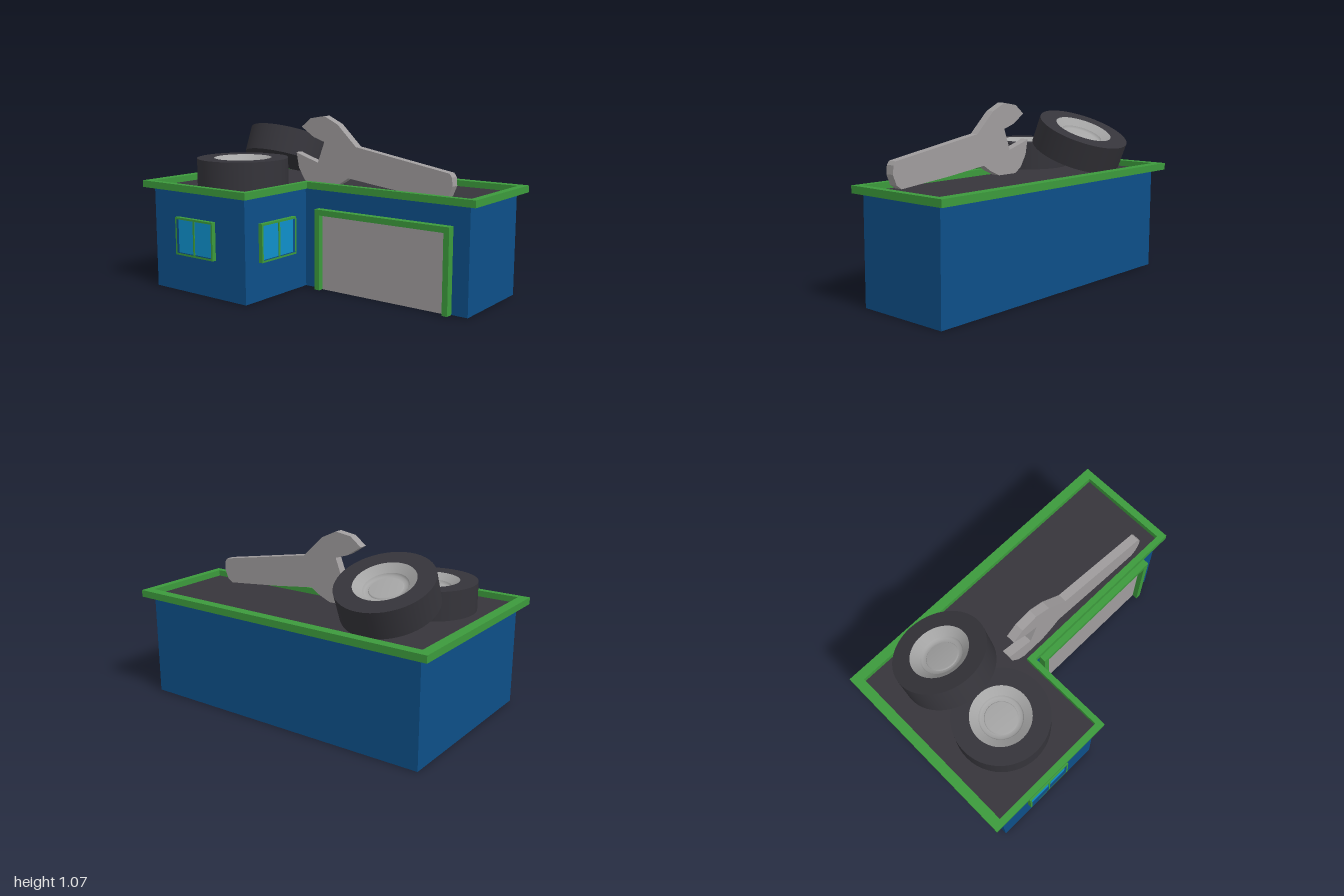
import * as THREE from 'three';

const mat = (name, color, side = THREE.FrontSide) => {
  const m = new THREE.MeshStandardMaterial({ color, side });
  m.name = name;
  return m;
};

// L-shaped footprint as [x, z] points
const footprint = (x0, x1, xIn, zBack, zMid, zFront) => [
  [x0, zBack], [x1, zBack], [x1, zMid], [xIn, zMid], [xIn, zFront], [x0, zFront],
].map(([x, z]) => new THREE.Vector2(x, z));

const rectPath = (x0, x1, y0, y1) => new THREE.Path([
  [x0, y0], [x0, y1], [x1, y1], [x1, y0],
].map(([x, y]) => new THREE.Vector2(x, y)));

const extrude = (shape, depth) =>
  new THREE.ExtrudeGeometry(shape, { depth, bevelEnabled: false });

export function createModel() {
  const wallBlue = mat('wall blue', 0x0d4f88, THREE.DoubleSide);
  const trimGreen = mat('trim green', 0x3c9a3c);
  const glassBlue = mat('glass blue', 0x0f90cb);
  const metalGrey = mat('metal grey', 0x9f9c9d);
  const roofDark = mat('roof dark', 0x37353b, THREE.DoubleSide);
  const rubber = mat('rubber', 0x35343a);
  const rimGrey = mat('rim grey', 0xa5a5a5);

  const model = new THREE.Group();
  model.name = 'garage';
  const add = (parent, name, geo, material, x = 0, y = 0, z = 0) => {
    const mesh = new THREE.Mesh(geo, material);
    mesh.name = name;
    mesh.position.set(x, y, z);
    parent.add(mesh);
    return mesh;
  };
  const box = (parent, name, material, x0, x1, y0, y1, z0, z1) =>
    add(parent, name, new THREE.BoxGeometry(x1 - x0, y1 - y0, z1 - z0), material,
      (x0 + x1) / 2, (y0 + y1) / 2, (z0 + z1) / 2);

  // Walls: one open panel per footprint edge, no floor
  const wallLine = footprint(-0.935, 0.952, -0.185, -0.56, 0.022, 0.578);
  const wallHeight = 0.627;
  const walls = new THREE.Group();
  walls.name = 'walls';
  model.add(walls);
  wallLine.forEach((a, i) => {
    const b = wallLine[(i + 1) % wallLine.length];
    const panel = add(walls, 'wallPanel', new THREE.PlaneGeometry(a.distanceTo(b), wallHeight),
      wallBlue, (a.x + b.x) / 2, wallHeight / 2, (a.y + b.y) / 2);
    const d = b.clone().sub(a);
    panel.rotation.y = Math.atan2(d.y, -d.x);
  });

  // Roof rim and sunken deck
  const inner = footprint(-0.94, 0.955, -0.18, -0.56, 0.022, 0.578);
  const rim = new THREE.Shape(footprint(-1, 1, -0.145, -0.62, 0.06, 0.617));
  rim.holes.push(new THREE.Path(inner));
  add(model, 'roofRim', extrude(rim, 0.042).rotateX(Math.PI / 2), trimGreen, 0, 0.667, 0);
  add(model, 'roofDeck', new THREE.ShapeGeometry(new THREE.Shape(inner)).rotateX(-Math.PI / 2).scale(1, 1, -1),
    roofDark, 0, 0.63, 0);

  // Garage door in its frame
  const door = new THREE.Group();
  door.name = 'garageDoor';
  model.add(door);
  box(door, 'doorBacking', trimGreen, -0.08, 0.85, 0, 0.505, 0.014, 0.028);
  box(door, 'doorPanel', metalGrey, -0.045, 0.815, 0, 0.47, 0.028, 0.036);
  box(door, 'doorJamb', trimGreen, -0.08, -0.045, 0, 0.505, 0.026, 0.07);
  box(door, 'doorJamb', trimGreen, 0.815, 0.85, 0, 0.505, 0.026, 0.07);
  box(door, 'doorLintel', trimGreen, -0.045, 0.815, 0.47, 0.505, 0.026, 0.07);

  // Two-pane windows
  const makeWindow = (name, x, z, turn) => {
    const w = new THREE.Group();
    w.name = name;
    const [hw, hh, t, m] = [0.156, 0.116, 0.012, 0.006];
    const frame = new THREE.Shape(rectPath(-hw, hw, -hh, hh).getPoints());
    frame.holes.push(rectPath(-hw + t, -m, -hh + t, hh - t), rectPath(m, hw - t, -hh + t, hh - t));
    add(w, 'windowFrame', extrude(frame, 0.027), trimGreen);
    box(w, 'windowPane', glassBlue, -hw + t, hw - t, -hh + t, hh - t, 0.003, 0.011);
    w.position.set(x, 0.348, z);
    w.rotation.y = turn;
    model.add(w);
  };
  makeWindow('frontWindow', -0.577, 0.578, 0);
  makeWindow('sideWindow', -0.185, 0.305, Math.PI / 2);

  // Wheels: lathed rubber with sharp edges, dished rim and hub
  const lathe = (pts) => new THREE.LatheGeometry(pts.map(([r, y]) => new THREE.Vector2(r, y)), 48);
  const makeWheel = (name, y, z, tilt) => {
    const wheel = new THREE.Group();
    wheel.name = name;
    const h = 0.17, R = 0.283;
    add(wheel, 'tyreTread', lathe([[R, 0], [R, h]]), rubber);
    add(wheel, 'tyreTopWall', lathe([[R, h], [0.178, h]]), rubber);
    add(wheel, 'tyreBase', lathe([[0, 0], [R, 0]]), rubber);
    add(wheel, 'rimSlope', lathe([[0.178, h], [0.128, h - 0.035]]), rimGrey);
    add(wheel, 'rimStep', lathe([[0.128, h - 0.035], [0.12, h - 0.05], [0.098, h - 0.05]]), rimGrey);
    add(wheel, 'hub', lathe([[0.098, h - 0.05], [0.092, h - 0.042], [0, h - 0.042]]), rimGrey);
    wheel.position.set(-0.55, y, z);
    wheel.rotation.x = tilt;
    model.add(wheel);
  };
  makeWheel('flatWheel', 0.632, 0.193, 0);
  makeWheel('leaningWheel', 0.738, -0.235, -0.382);

  // Spanner standing on its edge
  const outline = [
    [-0.24, 0.995], [-0.147, 0.936], [-0.065, 0.91], [-0.115, 0.78], [-0.26, 0.825], [-0.283, 0.835],
    [-0.265, 0.74], [-0.22, 0.667], [-0.17, 0.632], [-0.02, 0.632], [0.06, 0.667], [0.115, 0.702],
    [0.4, 0.667], [0.76, 0.632], [0.795, 0.655], [0.82, 0.715], [0.815, 0.765], [0.8, 0.786],
    [0.17, 0.893], [0.035, 1.02], [-0.065, 1.067], [-0.17, 1.05],
  ].map(([x, y]) => new THREE.Vector2(x, y));
  add(model, 'spanner', extrude(new THREE.Shape(outline), 0.054), metalGrey, 0, 0, -0.065);

  return model;
}
